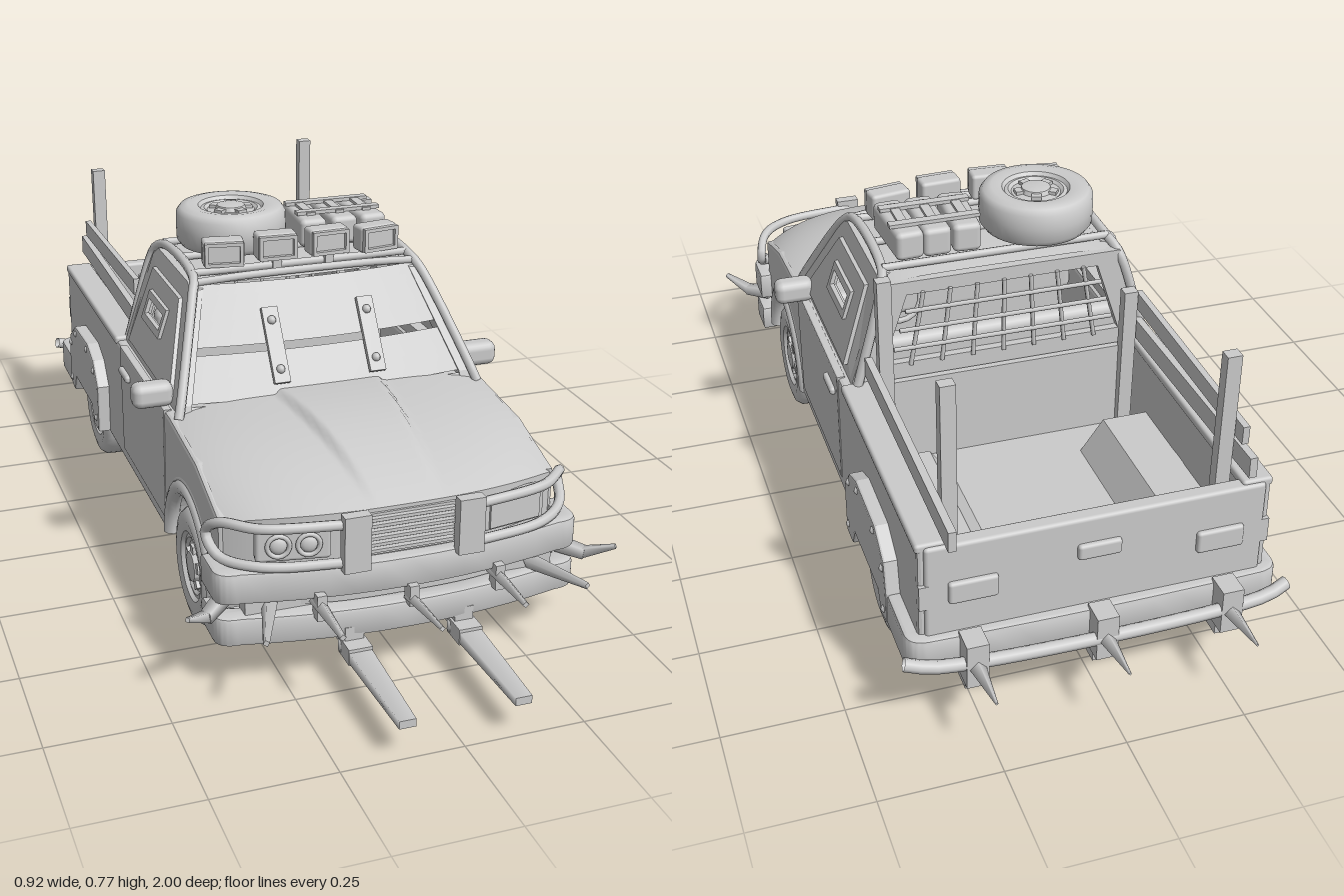
import * as THREE from 'three';
import { toCreasedNormals } from 'three/addons/utils/BufferGeometryUtils.js';
import { RoundedBoxGeometry } from 'three/addons/geometries/RoundedBoxGeometry.js';

const mat = new THREE.MeshStandardMaterial({ color: 0xcccccc, side: THREE.DoubleSide });
const V = (x, y, z) => new THREE.Vector3(x, y, z);
const SIDES = [1, -1];

export function createModel() {
  const root = new THREE.Group();
  const add = (name, geo, x = 0, y = 0, z = 0, parent = root) => {
    const m = new THREE.Mesh(geo, mat);
    m.name = name;
    m.position.set(x, y, z);
    parent.add(m);
    return m;
  };
  const box = (name, w, h, d, x, y, z, parent) => add(name, new THREE.BoxGeometry(w, h, d), x, y, z, parent);
  const soft = (name, w, h, d, r, x, y, z, parent) => add(name, new RoundedBoxGeometry(w, h, d, 2, r), x, y, z, parent);
  const tube = (name, pts, r, n = 24) =>
    add(name, new THREE.TubeGeometry(new THREE.CatmullRomCurve3(pts, false, 'centripetal'), n, r, 8));
  // straight bar or spike between two points
  const rod = (name, a, b, r0, r1 = r0, sides = 8) => {
    const m = add(name, new THREE.CylinderGeometry(r1, r0, a.distanceTo(b), sides));
    m.position.copy(a).lerp(b, 0.5);
    m.quaternion.setFromUnitVectors(V(0, 1, 0), b.clone().sub(a).normalize());
    return m;
  };
  const poly = (pts) => new THREE.Shape(pts.map((p) => new THREE.Vector2(p[0], p[1])));
  const lean = (y) => Math.max(0, y - 0.42) * 0.33;
  // panel drawn in (z, y), with outer face at |x| = x; leaning ones follow the cab side
  const sidePanel = (name, shape, s, x, t, leaning = false, bevel = 0) => {
    const g = new THREE.ExtrudeGeometry(shape, { depth: t, curveSegments: 16, bevelEnabled: bevel > 0,
      bevelSize: bevel, bevelThickness: bevel, bevelSegments: 2, bevelOffset: -bevel });
    g.rotateY(-Math.PI / 2).translate(s > 0 ? x : -x + t, 0, 0);
    const p = g.attributes.position;
    if (leaning) for (let i = 0; i < p.count; i++) p.setX(i, p.getX(i) - s * lean(p.getY(i)));
    g.computeVertexNormals();
    return add(name, g);
  };
  // smooth sheet from a rule f(u, v), both 0..1
  const sheet = (name, f, nu, nv) => {
    const g = new THREE.PlaneGeometry(1, 1, nu, nv);
    const p = g.attributes.position;
    for (let i = 0; i < p.count; i++) p.setXYZ(i, ...f(p.getX(i) + 0.5, p.getY(i) + 0.5));
    g.computeVertexNormals();
    return add(name, g);
  };

  // body sides with wheel arches
  const side = new THREE.Shape();
  side.moveTo(-0.81, 0.15).lineTo(-0.67, 0.13);
  side.absarc(-0.52, 0.13, 0.15, Math.PI, 0, true);
  side.lineTo(-0.36, 0.12).lineTo(0.22, 0.12);
  side.absarc(0.39, 0.13, 0.165, Math.PI, 0, true);
  side.lineTo(0.61, 0.18).lineTo(0.61, 0.345).lineTo(0.45, 0.395).lineTo(0.25, 0.412).lineTo(-0.81, 0.412);
  const bodyDoor = poly([[0.2, 0.15], [0.215, 0.415], [-0.19, 0.415], [-0.19, 0.15]]);

  // cab side, its window opening, and the armour plate with a slot
  const cabSide = poly([[0.255, 0.4], [0.245, 0.43], [0.105, 0.638], [0.075, 0.649], [-0.18, 0.649], [-0.205, 0.63], [-0.235, 0.4]]);
  cabSide.holes.push(poly([[0.18, 0.445], [0.07, 0.61], [-0.155, 0.61], [-0.17, 0.445]]));
  const plate = poly([[0.195, 0.435], [0.075, 0.613], [-0.155, 0.613], [-0.175, 0.435]]);
  plate.holes.push(poly([[0.03, 0.52], [0.03, 0.565], [-0.1, 0.565], [-0.1, 0.52]]));
  const slotRim = poly([[0.04, 0.51], [0.04, 0.575], [-0.11, 0.575], [-0.11, 0.51]]);
  slotRim.holes.push(poly([[0.025, 0.525], [0.025, 0.56], [-0.095, 0.56], [-0.095, 0.525]]));

  // bolted guard over the rear wheel
  const guard = poly([[-0.68, 0.14], [-0.64, 0.13], [-0.615, 0.175], [-0.425, 0.175], [-0.4, 0.13], [-0.35, 0.13], [-0.345, 0.25],
    [-0.39, 0.305], [-0.45, 0.328], [-0.6, 0.322], [-0.665, 0.28], [-0.68, 0.21]]);

  for (const s of SIDES) {
    sidePanel('bodySide', side, s, 0.355, 0.045, false, 0.008);
    sidePanel('door', bodyDoor, s, 0.362, 0.012, false, 0.004);
    sidePanel('cabSide', cabSide, s, 0.343, 0.03, true);
    sidePanel('windowArmour', plate, s, 0.352, 0.01, true);
    sidePanel('viewSlotRim', slotRim, s, 0.36, 0.01, true);
    sidePanel('rearWheelGuard', guard, s, 0.388, 0.03, false, 0.005);
    for (const [z, y] of [[-0.385, 0.28], [-0.46, 0.31], [-0.59, 0.305], [-0.655, 0.26], [-0.37, 0.16], [-0.66, 0.16]])
      add('guardBolt', new THREE.SphereGeometry(0.009, 8, 6), s * 0.39, y, z);
    for (const [r, t, x] of [[0.168, 0.018, 0.356], [0.184, 0.015, 0.35]])
      add('frontWheelFlare', new THREE.TorusGeometry(r, t, 8, 28, Math.PI), s * x, 0.13, 0.39).rotation.y = Math.PI / 2;
    // half-round liners inside the arches
    for (const [z, r, w, x] of [[0.39, 0.165, 0.12, 0.25], [-0.52, 0.15, 0.1, 0.265]])
      add('wheelArchLiner', new THREE.CylinderGeometry(r, r, w, 20, 1, true, 0, Math.PI).rotateZ(Math.PI / 2), s * x, 0.13, z);
    soft('doorHandle', 0.02, 0.018, 0.075, 0.007, s * 0.367, 0.365, -0.13);
    box('sill', 0.07, 0.04, 0.58, s * 0.32, 0.14, -0.07);
    box('innerSill', 0.06, 0.03, 0.58, s * 0.265, 0.155, -0.07);
    soft('mirror', 0.09, 0.055, 0.05, 0.018, s * 0.38, 0.44, 0.175);
    rod('mirrorArm', V(s * 0.31, 0.44, 0.16), V(s * 0.36, 0.44, 0.17), 0.01);
    soft('bedRail', 0.065, 0.02, 0.58, 0.007, s * 0.334, 0.412, -0.52);
    add('bedWheelWell', new THREE.ExtrudeGeometry(poly([[s * 0.32, 0.2], [s * 0.14, 0.2], [s * 0.2, 0.285], [s * 0.32, 0.285]]),
      { depth: 0.37, bevelEnabled: false }), 0, 0, -0.705);
    // tubes over the windscreen pillars and along the roof
    tube('pillarTube', [V(s * 0.345, 0.41, 0.265), V(s * 0.335, 0.44, 0.25), V(s * 0.268, 0.632, 0.115), V(s * 0.255, 0.656, 0.08),
      V(s * 0.255, 0.657, -0.18), V(s * 0.268, 0.635, -0.22), V(s * 0.33, 0.42, -0.24)], 0.011, 48);
    // bull bar loop
    tube('bullBar', [V(s * 0.12, 0.352, 0.725), V(s * 0.3, 0.354, 0.69), V(s * 0.365, 0.35, 0.63), V(s * 0.382, 0.315, 0.59),
      V(s * 0.37, 0.28, 0.63), V(s * 0.3, 0.272, 0.69), V(s * 0.12, 0.27, 0.725)], 0.011, 48);
    box('bullBarPlate', 0.055, 0.12, 0.025, s * 0.12, 0.315, 0.73);
    // ramming forks
    box('forkMount', 0.05, 0.035, 0.06, s * 0.118, 0.078, 0.73);
    box('forkMountArm', 0.04, 0.05, 0.05, s * 0.118, 0.1, 0.7);
    const fork = rod('fork', V(s * 0.118, 0.077, 0.7), V(s * 0.118, 0.075, 1), 0.036, 0.024, 4);
    fork.geometry.rotateY(Math.PI / 4).scale(1, 1, 0.5);
    // windscreen straps
    const strap = box('windscreenStrap', 0.036, 0.17, 0.012, s * 0.11, 0.53, 0.207);
    strap.rotation.x = -0.6;
    for (const y of [-0.055, 0.055])
      add('strapBolt', new THREE.SphereGeometry(0.01, 8, 6), 0, y, 0.006, strap);
  }

  // bonnet with a raised, narrowing centre, and the nose below it
  const noseZ = (x) => 0.7 - 0.09 * Math.abs(x / 0.355) ** 3;
  const bonnetY = (u, v) => 0.435 - 0.07 * v ** 2.9 - 0.026 * Math.abs(u) ** 4
    + 0.016 * Math.sin(Math.PI * Math.min(1, 0.12 + v * 0.88)) * THREE.MathUtils.smoothstep(0.38 - 0.16 * v - Math.abs(u), 0, 0.05);
  sheet('bonnet', (a, v) => {
    const u = a * 2 - 1, x = u * 0.353;
    return [x, bonnetY(u, v), 0.2 + v * (noseZ(x) - 0.2)];
  }, 80, 24);
  sheet('nose', (a, v) => {
    const u = a * 2 - 1, x = u * 0.353;
    return [x, 0.17 + v * (bonnetY(u, 1) - 0.17), noseZ(x)];
  }, 80, 2);
  box('grilleFrame', 0.2, 0.09, 0.02, 0, 0.312, 0.695);
  for (let i = 0; i < 6; i++) box('grilleSlat', 0.19, 0.007, 0.016, 0, 0.28 + i * 0.0135, 0.708);
  for (const s of SIDES) {
    const lamp = new THREE.Group();
    lamp.name = 'headlight';
    lamp.position.set(s * 0.232, 0.31, 0.677);
    lamp.rotation.y = s * 0.17;
    root.add(lamp);
    soft('headlightFrame', 0.15, 0.072, 0.03, 0.008, 0, 0, 0, lamp);
    if (s > 0) box('headlightCover', 0.12, 0.055, 0.012, 0, 0, 0.014, lamp);
    else for (const x of [-0.03, 0.03]) {
      add('lampRing', new THREE.TorusGeometry(0.022, 0.005, 8, 20), x, 0, 0.018, lamp);
      add('lampLens', new THREE.SphereGeometry(0.018, 12, 8).scale(1, 1, 0.5), x, 0, 0.015, lamp);
    }
  }

  // wrap-around bumpers, drawn in plan
  const bumper = (name, y, h, zMid, zCorner, zEnd, inset) => {
    const d = Math.sign(zMid), plan = new THREE.Shape();
    const w = 0.39, t = 0.035;
    plan.moveTo(-w, -zEnd);
    plan.lineTo(-w, -zCorner + d * 0.04).quadraticCurveTo(-w, -zCorner, -w + 0.05, -zCorner);
    plan.quadraticCurveTo(0, -zMid - d * inset, w - 0.05, -zCorner);
    plan.quadraticCurveTo(w, -zCorner, w, -zCorner + d * 0.04).lineTo(w, -zEnd).lineTo(w - t, -zEnd);
    plan.lineTo(w - t, -zCorner + d * 0.055).quadraticCurveTo(0, -zMid + d * (t - inset), -w + t, -zCorner + d * 0.055);
    plan.lineTo(-w + t, -zEnd);
    const g = new THREE.ExtrudeGeometry(plan, { depth: h - 0.016, bevelSize: 0.008, bevelThickness: 0.008, bevelSegments: 2, bevelOffset: -0.008, curveSegments: 12 });
    add(name, toCreasedNormals(g.rotateX(-Math.PI / 2), 0.6), 0, y + 0.008, 0);
  };
  bumper('frontBumperUpper', 0.195, 0.068, 0.74, 0.69, 0.58, 0.03);
  bumper('frontBumperLower', 0.103, 0.062, 0.74, 0.69, 0.58, 0.03);
  bumper('rearBumper', 0.13, 0.078, -0.84, -0.835, -0.66, 0.005);
  box('bumperCore', 0.66, 0.1, 0.04, 0, 0.18, 0.66);
  box('frontSkidPlate', 0.72, 0.015, 0.11, 0, 0.118, 0.63);

  // front spikes on lugs, mirrored, with one in the middle
  rod('frontSpike', V(0, 0.17, 0.72), V(0, 0.185, 0.88), 0.014, 0.006, 4);
  box('spikeLug', 0.02, 0.045, 0.03, 0, 0.182, 0.73);
  for (const s of SIDES) {
    box('spikeLug', 0.02, 0.055, 0.03, s * 0.19, 0.184, 0.72);
    rod('frontSpike', V(s * 0.19, 0.185, 0.7), V(s * 0.19, 0.185, 0.85), 0.016, 0.007, 4);
    rod('frontSpike', V(s * 0.28, 0.18, 0.68), V(s * 0.335, 0.19, 0.83), 0.017, 0.007, 4);
    rod('cornerSpikeBase', V(s * 0.36, 0.185, 0.63), V(s * 0.41, 0.175, 0.68), 0.02, 0.016, 4);
    rod('cornerSpike', V(s * 0.405, 0.175, 0.675), V(s * 0.457, 0.203, 0.722), 0.015, 0.006, 4);
  }

  // rear bar with clamps and spikes
  tube('rearBar', [V(-0.395, 0.185, -0.855), V(-0.34, 0.17, -0.865), V(0.34, 0.17, -0.865), V(0.405, 0.185, -0.855)], 0.014);
  for (const x of [-0.265, 0, 0.265]) {
    box('rearClamp', 0.045, 0.1, 0.055, x, 0.165, -0.855);
    rod('rearSpike', V(x, 0.16, -0.88), V(x, 0.172, -0.995), 0.017, 0.003, 4);
    box('rearClampFoot', 0.03, 0.04, 0.05, x, 0.1, -0.82);
  }

  // bed
  box('bedFloor', 0.64, 0.015, 0.58, 0, 0.205, -0.515);
  box('bedFrontWall', 0.64, 0.23, 0.015, 0, 0.3, -0.24);
  soft('tailgate', 0.7, 0.24, 0.035, 0.008, 0, 0.295, -0.8);
  soft('tailgateHandle', 0.09, 0.035, 0.02, 0.007, 0, 0.34, -0.818);
  for (const s of SIDES) {
    soft('tailLight', 0.1, 0.05, 0.02, 0.007, s * 0.255, 0.305, -0.818);
    box('tailMarker', 0.02, 0.055, 0.035, s * 0.352, 0.3, -0.8);
  }
  // timber side boards on uneven posts: x, z, bottom, top
  for (const [x, z, y0, y1] of [[0.284, -0.75, 0.21, 0.727], [0.28, -0.285, 0.21, 0.69], [-0.28, -0.75, 0.21, 0.69], [-0.28, -0.255, 0.21, 0.56]]) {
    const post = box('boardPost', 0.031, y1 - y0, 0.026, x, (y0 + y1) / 2, z);
    post.rotation.x = x > 0 ? 0.02 : -0.02;
  }
  box('upperBoard', 0.014, 0.04, 0.54, -0.304, 0.528, -0.525).rotation.x = -0.02;
  for (const s of SIDES) box('lowerBoard', 0.016, 0.045, 0.61, s * 0.308, 0.463, -0.555 + (1 - s) * 0.015).rotation.x = -s * 0.02;

  // windscreen armour in strips with a sight gap
  const strip = (name, y0, y1) => sheet(name, (a, v) => {
    const u = a * 2 - 1, y = y0 + v * (y1 - y0);
    return [u * (0.335 - lean(y)), y, 0.235 - (y - 0.43) * 0.66 + 0.025 * (1 - u * u)];
  }, 16, 2);
  strip('cowl', 0.4, 0.425);
  strip('lowerWindscreenPlate', 0.43, 0.516);
  strip('upperWindscreenPlate', 0.53, 0.625);
  strip('windscreenHeader', 0.625, 0.646);
  // roof, cab back and the window mesh
  sheet('roof', (a, b) => {
    const u = a * 2 - 1, w = b * 2 - 1;
    return [u * 0.264, 0.644 + 0.014 * (1 - u ** 4) * (1 - 0.6 * w ** 4), -0.215 + b * 0.305 + 0.025 * b * (1 - u * u)];
  }, 20, 12);
  const back = poly([[-0.34, 0.2], [0.34, 0.2], [0.34, 0.42], [0.266, 0.646], [-0.266, 0.646], [-0.34, 0.42]]);
  back.holes.push(poly([[-0.27, 0.45], [-0.215, 0.615], [0.215, 0.615], [0.27, 0.45]]));
  add('cabBack', new THREE.ExtrudeGeometry(back, { depth: 0.02, bevelEnabled: false }), 0, 0, -0.228);
  for (let i = -3; i <= 3; i++) rod('meshUpright', V(i * 0.07, 0.445, -0.232), V(i * 0.06, 0.62, -0.232), 0.005, 0.005, 6);
  for (const y of [0.49, 0.535, 0.58]) rod('meshBar', V(-0.26 + (y - 0.45) * 0.3, y, -0.236), V(0.26 - (y - 0.45) * 0.3, y, -0.236), 0.005, 0.005, 6);
  // cab interior
  box('cabFloor', 0.64, 0.02, 0.47, 0, 0.165, 0.005);
  box('firewall', 0.64, 0.25, 0.02, 0, 0.29, 0.225);
  soft('benchSeat', 0.56, 0.1, 0.18, 0.025, 0, 0.27, -0.09);
  soft('seatBack', 0.56, 0.22, 0.05, 0.02, 0, 0.39, -0.185);
  soft('dashboard', 0.6, 0.08, 0.08, 0.02, 0, 0.385, 0.18);
  add('steeringWheel', new THREE.TorusGeometry(0.055, 0.007, 6, 20), 0.15, 0.42, 0.1).rotation.x = 0.4;

  // roof rack, lamps and cargo
  for (const z of [0.06, -0.06, -0.18]) rod('rackBar', V(-0.255, 0.662, z), V(0.255, 0.662, z), 0.009);
  tube('lampBar', [V(-0.255, 0.65, 0.09), V(-0.15, 0.658, 0.1), V(0.15, 0.658, 0.1), V(0.255, 0.65, 0.09)], 0.009);
  [-0.178, -0.06, 0.06, 0.18].forEach((x, i) => {
    const g = new THREE.Group();
    g.name = 'roofLamp';
    g.position.set(x, i % 3 ? 0.707 : 0.7, i % 3 ? 0.055 : 0.045);
    g.rotation.y = x * 0.9;
    root.add(g);
    soft('lampHousing', 0.092, 0.06, 0.045, 0.008, 0, 0, 0, g);
    for (const k of SIDES) {
      box('lampRimLong', 0.085, 0.008, 0.012, 0, k * 0.023, 0.026, g);
      box('lampRimShort', 0.008, 0.05, 0.012, k * 0.039, 0, 0.026, g);
    }
    box('lampFoot', 0.02, 0.04, 0.02, 0, -0.038, 0.01, g);
  });
  [0.06, 0.13, 0.195].forEach((x, i) => {
    soft('fuelCan', 0.062, 0.065, 0.17, 0.012, x, 0.701, -0.095).rotation.y = (i - 1) * 0.06;
    box('fuelCanRib', 0.02, 0.012, 0.1, x, 0.734, -0.095);
  });
  for (const z of [-0.14, -0.06]) box('cargoStrap', 0.2, 0.008, 0.02, 0.128, 0.738, z);

  // wheels: tyre, shallow dish and hub with lugs; outward face is +y before placing
  const tyreProfile = [[0.075, -0.045], [0.1, -0.05], [0.118, -0.045], [0.127, -0.032], [0.128, 0], [0.127, 0.032], [0.118, 0.045],
    [0.1, 0.05], [0.076, 0.046], [0.07, 0.038], [0.062, 0.04], [0.055, 0.034], [0.036, 0.036], [0.032, 0.046], [0.022, 0.048], [0, 0.048]];
  const tyre = toCreasedNormals(new THREE.LatheGeometry(tyreProfile.map((p) => new THREE.Vector2(...p)), 40), 0.7);
  const inner = new THREE.CylinderGeometry(0.078, 0.078, 0.02, 24);
  const wheel = (name, x, y, z) => {
    const g = new THREE.Group();
    g.name = name;
    g.position.set(x, y, z);
    root.add(g);
    add('tyre', tyre, 0, 0, 0, g);
    add('wheelDisc', inner, 0, -0.03, 0, g);
    for (let i = 0; i < 5; i++) {
      const a = i * Math.PI * 0.4;
      box('hubLug', 0.018, 0.014, 0.022, Math.cos(a) * 0.04, 0.036, Math.sin(a) * 0.04, g).rotation.y = -a;
    }
    return g;
  };
  for (const s of SIDES) for (const z of [0.39, -0.52])
    wheel(z > 0 ? 'frontWheel' : 'rearWheel', s * 0.315, 0.128, z).rotation.z = -s * Math.PI / 2;
  wheel('spareWheel', -0.115, 0.718, -0.1).scale.set(0.98, 0.95, 0.98);

  // chassis, axles and drivetrain
  for (const s of SIDES) {
    box('frameRail', 0.035, 0.05, 1.4, s * 0.16, 0.155, -0.07);
    for (const z of [0.39, -0.52]) box('leafSpring', 0.03, 0.018, 0.3, s * 0.2, 0.125, z);
  }
  for (const z of [0.56, 0.2, 0, -0.2, -0.38, -0.72]) box('crossMember', 0.33, 0.035, 0.035, 0, 0.15, z);
  for (const z of [0.39, -0.52]) {
    rod('axle', V(-0.29, 0.128, z), V(0.29, 0.128, z), 0.028, 0.028, 12);
    add('differential', new THREE.SphereGeometry(0.055, 16, 12).scale(1.4, 1, 1), 0, 0.128, z);
  }
  rod('driveShaft', V(0, 0.14, 0.39), V(0, 0.14, -0.52), 0.014);
  soft('gearbox', 0.11, 0.09, 0.22, 0.02, 0, 0.17, 0.15);
  soft('engine', 0.28, 0.19, 0.32, 0.03, 0, 0.27, 0.44);
  soft('fuelTank', 0.12, 0.08, 0.24, 0.02, 0.245, 0.165, -0.2);
  tube('exhaustPipe', [V(-0.1, 0.17, 0.4), V(-0.1, 0.15, 0.2), V(-0.1, 0.15, -0.3), V(-0.11, 0.18, -0.52), V(-0.2, 0.14, -0.8)], 0.014, 40);
  rod('muffler', V(-0.1, 0.155, 0.05), V(-0.1, 0.155, -0.2), 0.033, 0.033, 16);
  return root;
}
